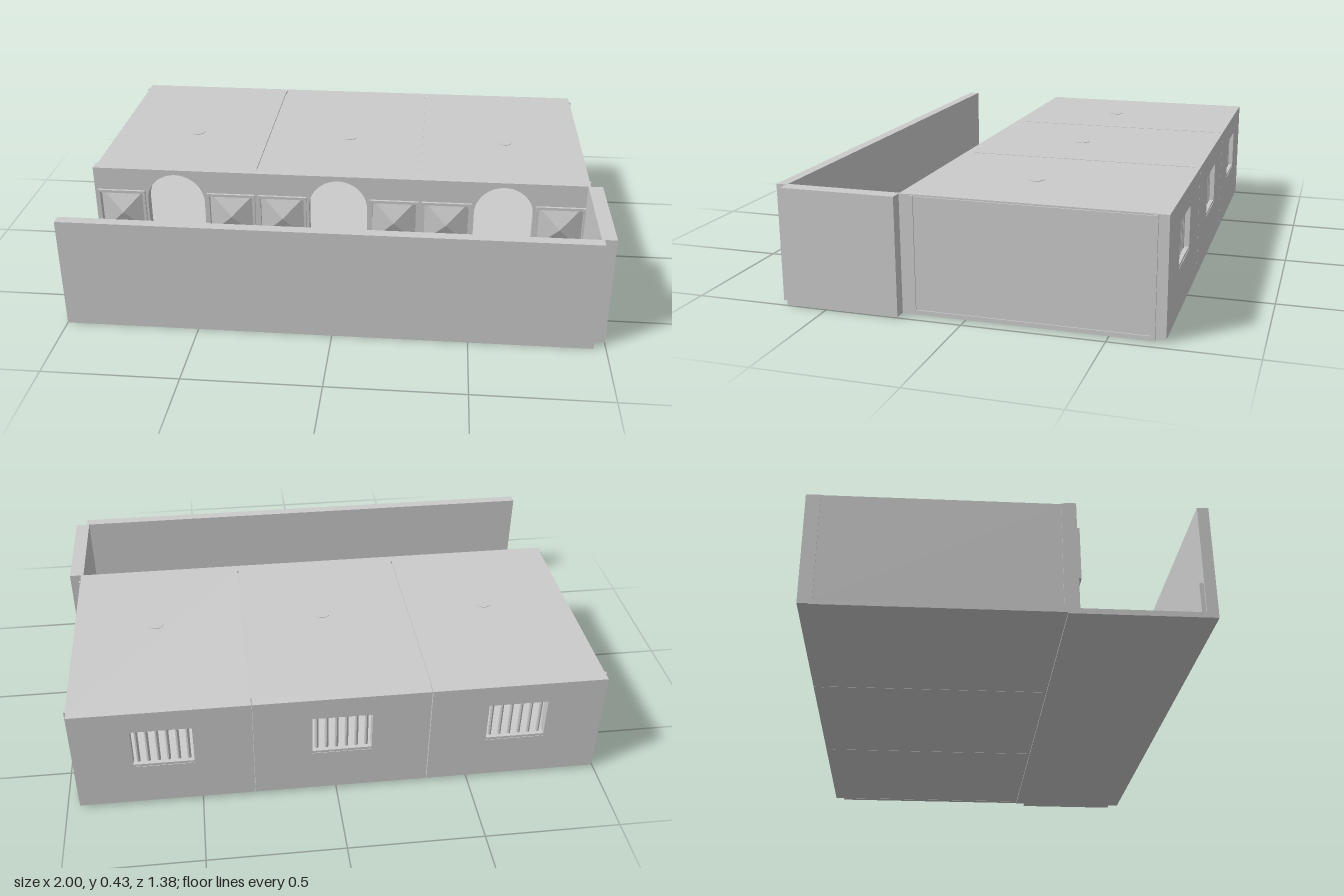
import * as THREE from 'three';

const H = 0.43;                       // wall height
const CELLS = [-0.67, -0.02, 0.63];   // cell centres along x
const mat = new THREE.MeshStandardMaterial({ color: 0xcccccc, flatShading: true });

export function createModel() {
  const root = new THREE.Group();

  function add(geo, name, parent = root) {
    const m = new THREE.Mesh(geo, mat);
    m.name = name;
    parent.add(m);
    return m;
  }
  // box given by its limits on each axis
  function box(name, x0, x1, y0, y1, z0, z1, parent) {
    const m = add(new THREE.BoxGeometry(x1 - x0, y1 - y0, z1 - z0), name, parent);
    m.position.set((x0 + x1) / 2, (y0 + y1) / 2, (z0 + z1) / 2);
    return m;
  }
  function rect(x0, x1, y0, y1, Type = THREE.Path) {
    const p = new Type();
    p.moveTo(x0, y0);
    p.lineTo(x1, y0);
    p.lineTo(x1, y1);
    p.lineTo(x0, y1);
    p.closePath();
    return p;
  }
  // upright wall with openings, from z0 to z1
  function wall(name, shape, z0, z1, parent) {
    const geo = new THREE.ExtrudeGeometry(shape, { depth: z1 - z0, bevelEnabled: false, curveSegments: 20 });
    const m = add(geo, name, parent);
    m.position.z = z0;
    return m;
  }

  // Floors: one slab per cell and the corridor
  CELLS.forEach((cx) => box('cellFloor', cx - 0.322, cx + 0.322, 0.005, 0.02, -0.65, 0.19));
  box('corridorFloor', -1, 0.95, 0, 0.02, 0.19, 0.65);

  // Corridor outer wall, end wall and low wainscot
  box('outerWall', -1, 0.955, 0, H, 0.65, 0.69);
  box('endWall', 0.955, 1, 0.003, H, 0.23, 0.65);
  box('endWallLining', 0.945, 0.956, 0.003, H, 0.23, 0.65);
  CELLS.forEach((cx) => box('wainscot', cx - 0.323, cx + 0.313, 0.02, 0.135, 0.635, 0.651));

  // Corridor-side cell wall with arched doorways and panel pockets
  const R = 0.115, SPRING = 0.295;
  const PW = 0.09, PY0 = 0.145, PY1 = 0.33;
  const front = rect(-1, 0.955, 0.001, H, THREE.Shape);
  CELLS.forEach((cx) => {
    const door = new THREE.Path();
    door.moveTo(cx - R, 0.02);
    door.lineTo(cx + R, 0.02);
    door.lineTo(cx + R, SPRING);
    door.absarc(cx, SPRING, R, 0, Math.PI, false);
    door.closePath();
    front.holes.push(door);
    [-1, 1].forEach((s) => {
      const px = cx + s * 0.222;
      front.holes.push(rect(px - PW, px + PW, PY0, PY1));
    });
  });
  wall('cellFrontWall', front, 0.19, 0.23);

  // Faceted panels in frames beside each doorway, and a threshold
  CELLS.forEach((cx) => {
    [-1, 1].forEach((s) => {
      const panel = new THREE.Group();
      panel.name = 'wallPanel';
      panel.position.set(cx + s * 0.222, (PY0 + PY1) / 2, 0);
      root.add(panel);
      const hh = (PY1 - PY0) / 2;
      box('panelBacking', -PW, PW, -hh, hh, 0.191, 0.205, panel);
      const pyramid = new THREE.ConeGeometry(Math.SQRT2, 1, 4, 1, true);
      pyramid.rotateY(Math.PI / 4);
      pyramid.rotateX(Math.PI / 2);
      pyramid.scale(PW, hh, 0.033);
      add(pyramid, 'panelFacets', panel).position.z = 0.2215;
      const frame = rect(-PW - 0.007, PW + 0.007, -hh - 0.007, hh + 0.007, THREE.Shape);
      frame.holes.push(rect(-PW + 0.004, PW - 0.004, -hh + 0.004, hh - 0.004));
      wall('panelFrame', frame, 0.225, 0.24, panel);
    });
    box('threshold', cx - 0.09, cx + 0.09, 0.018, 0.024, 0.2, 0.215);
  });

  // Partitions and end walls, set slightly below the ceiling seams
  [-0.995, -0.345, 0.305, 0.955].forEach((x, i) => {
    const x0 = i === 0 ? -0.996 : x - 0.018;
    const x1 = i === 3 ? 0.957 : x + 0.018;
    box('cellSideWall', x0, x1, 0.02, 0.424, -0.645, 0.185);
    box('sideWallBase', x0 - (i ? 0 : 0.004), x1 + (i === 3 ? 0.004 : 0), 0.004, 0.02, -0.65, 0.19);
  });
  // Corner trims on the two ends
  [-0.994, 0.955].forEach((x) => [-0.647, 0.185].forEach((z) =>
    box('cornerTrim', x - 0.006, x + 0.006, 0.004, 0.427, z - 0.007, z + 0.007)));

  // Each cell: ceiling, barred rear window and ceiling lamp
  CELLS.forEach((cx) => {
    const cell = new THREE.Group();
    cell.name = 'cell';
    cell.position.x = cx;
    root.add(cell);
    box('ceiling', -0.322, 0.322, 0.41, H, -0.65, 0.19, cell);

    const back = rect(-0.3235, 0.3235, 0.01, H, THREE.Shape);
    back.holes.push(rect(-0.11, 0.11, 0.18, 0.345));
    wall('rearWall', back, -0.69, -0.65, cell);
    box('windowSill', -0.11, 0.11, 0.178, 0.19, -0.688, -0.645, cell);
    for (let i = 0; i < 6; i++) {
      const bar = add(new THREE.CylinderGeometry(0.007, 0.007, 0.165, 8), 'windowBar', cell);
      bar.position.set(-0.0917 + i * 0.0367, 0.2625, -0.667);
    }

    const lamp = add(new THREE.CylinderGeometry(0.03, 0.026, 0.03, 16), 'ceilingLamp', cell);
    lamp.position.set(0.013, 0.417, -0.16);
  });

  return root;
}
